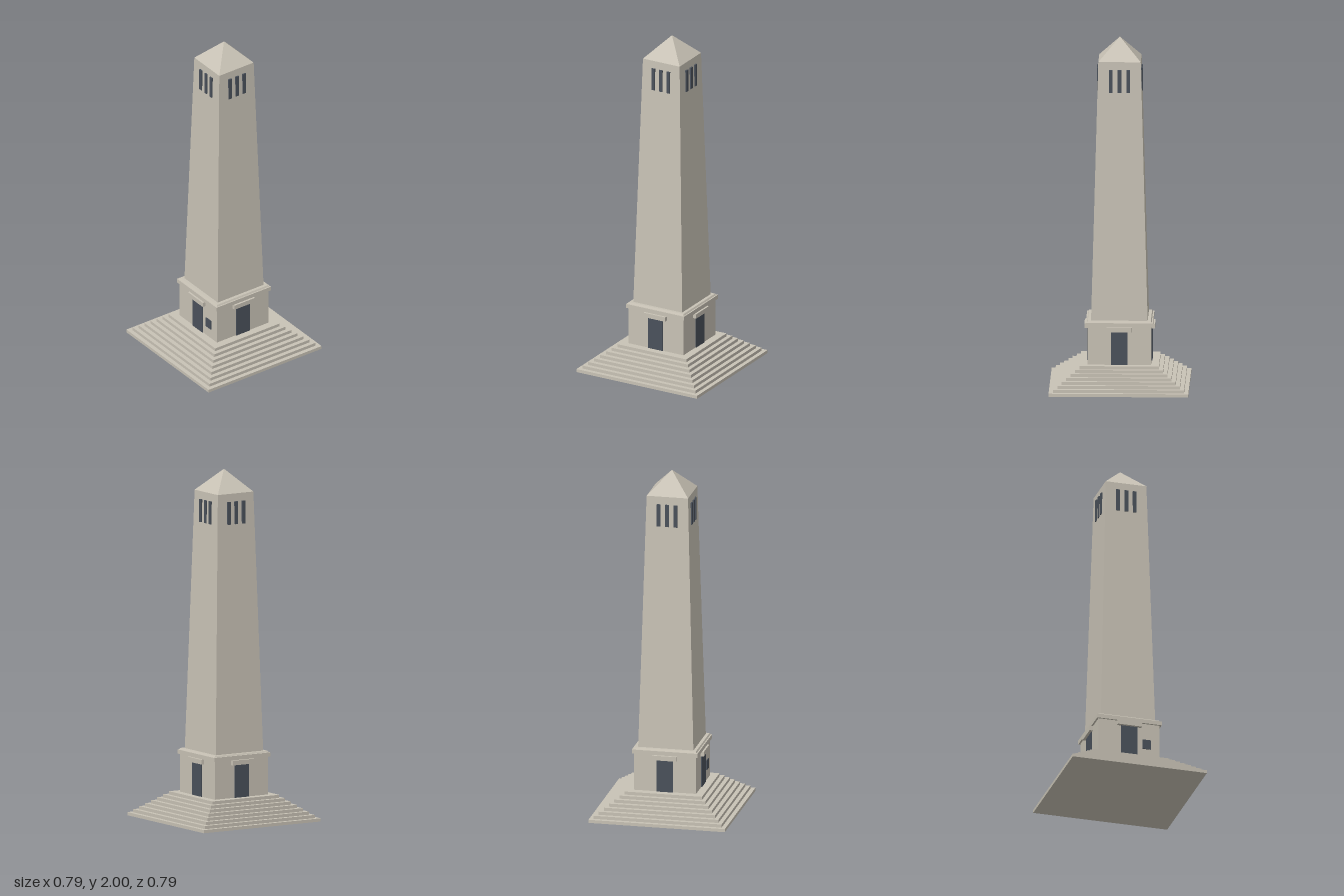
import * as THREE from 'three';

export function createModel() {
  const model = new THREE.Group();
  model.name = 'obelisk';

  const stone = new THREE.MeshStandardMaterial({ color: 0xc8c2b5 });
  stone.name = 'pale stone';
  const dark = new THREE.MeshStandardMaterial({ color: 0x4a515b });
  dark.name = 'dark slate';

  function add(parent, name, geometry, material, x, y, z) {
    const mesh = new THREE.Mesh(geometry, material);
    mesh.name = name;
    mesh.position.set(x, y, z);
    parent.add(mesh);
    return mesh;
  }

  // Square block between two heights, with half-widths at bottom and top
  function block(name, y0, y1, bottom, top = bottom) {
    const g = new THREE.CylinderGeometry(top * Math.SQRT2, bottom * Math.SQRT2, y1 - y0, 4)
      .rotateY(Math.PI / 4)
      .toNonIndexed();
    g.computeVertexNormals(); // crisp edges
    return add(model, name, g, stone, 0, (y0 + y1) / 2, 0);
  }

  // Stepped plinth
  const steps = 8, plinthTop = 0.145, rise = plinthTop / steps;
  for (let i = 0; i < steps; i++) {
    block('step' + (i + 1), i * rise, (i + 1) * rise, 0.395 - i * 0.0243);
  }

  // Base with cornice and chamfered cap
  block('base', plinthTop, 0.362, 0.18);
  block('cornice', 0.362, 0.386, 0.19);
  block('corniceCap', 0.386, 0.395, 0.183, 0.178);

  // Tapered shaft and pyramid top
  block('shaft', 0.395, 1.875, 0.16, 0.12);
  block('pyramid', 1.875, 2, 0.12, 0);

  // Door, lintel and window slits on each of the four sides
  for (let i = 0; i < 4; i++) {
    const side = new THREE.Group();
    side.name = 'side' + (i + 1);
    side.rotation.y = i * Math.PI / 2;
    add(side, 'door', new THREE.BoxGeometry(0.095, 0.19, 0.006), dark, 0, 0.24, 0.182);
    add(side, 'lintel', new THREE.BoxGeometry(0.142, 0.027, 0.03), stone, 0, 0.3475, 0.185);
    for (const x of [-0.049, 0, 0.049]) {
      add(side, 'windowSlit', new THREE.BoxGeometry(0.021, 0.13, 0.0085), dark, x, 1.765, 0.1255);
    }
    model.add(side);
  }

  // Small plaque beside the front door
  add(model, 'plaque', new THREE.BoxGeometry(0.048, 0.057, 0.006), dark, 0.103, 0.234, 0.182);

  return model;
}
